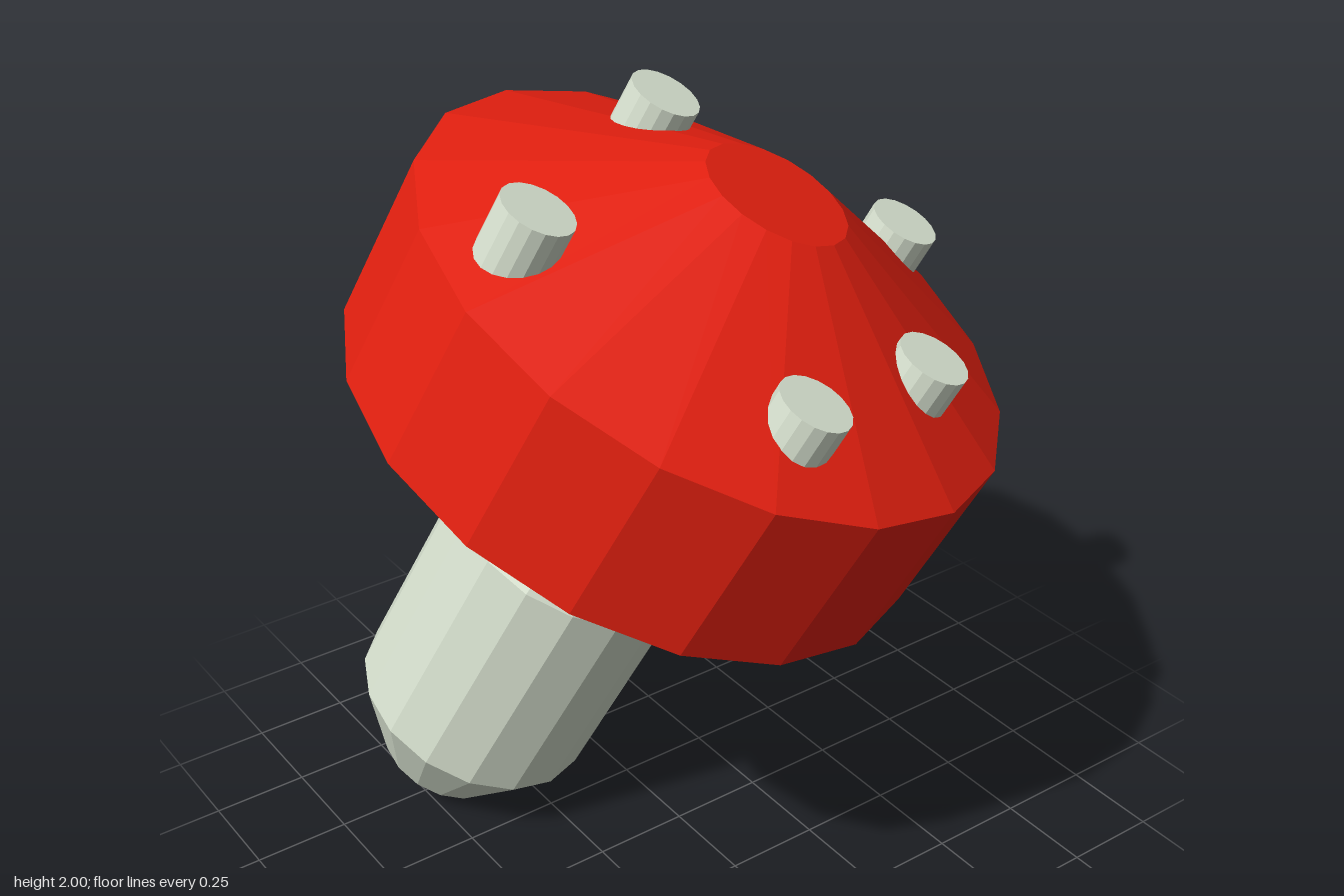
import * as THREE from 'three';

const RED = new THREE.MeshStandardMaterial({ color: 0xe62010, flatShading: true });
const PALE = new THREE.MeshStandardMaterial({ color: 0xd8e2d0, flatShading: true });

// Turned part from [radius, height] pairs, listed bottom to top
function turned(name, profile, sides, material, start = 0, sweep = Math.PI * 2) {
  const points = profile.map(([r, y]) => new THREE.Vector2(r, y));
  const mesh = new THREE.Mesh(new THREE.LatheGeometry(points, sides, start, sweep), material);
  mesh.name = name;
  return mesh;
}

export function createModel() {
  const model = new THREE.Group();
  model.name = 'mushroom';

  // Leaning axis shared by every part
  const axis = new THREE.Vector3(0.279, 0.887, 0.368).normalize();
  const tilt = new THREE.Quaternion().setFromUnitVectors(new THREE.Vector3(0, 1, 0), axis);
  const rad = THREE.MathUtils.degToRad;

  const body = new THREE.Group();
  body.name = 'body';
  body.position.set(-0.41, 0.081, -0.54);
  body.quaternion.copy(tilt);
  model.add(body);

  // Stem with tapered ends
  body.add(turned('stem',
    [[0, 0], [0.176, 0], [0.32, 0.226], [0.32, 0.872], [0.2, 1.165], [0, 1.165]],
    16, PALE, rad(35)));

  // Cap: shallow cone below, straight band, cone above with a flat tip
  body.add(turned('cap',
    [[0, 1.148], [0.2, 1.148], [0.756, 1.236], [0.756, 1.675], [0.18, 1.962], [0, 1.962]],
    18, RED, rad(35)));

  // Small red fleck where the cap meets the stem
  body.add(turned('capFleck', [[0.24, 1.085], [0.214, 1.15]], 2, RED, rad(136), rad(54)));

  // Spots: short pegs parallel to the stem, placed by the centre of their tops
  const spotLength = 0.2;
  const spotGeometry = new THREE.CylinderGeometry(0.088, 0.088, spotLength, 18);
  const spotTops = [
    [-0.455, 1.91, 0.13],
    [0.095, 1.96, -0.185],
    [-0.105, 1.56, 0.63],
    [0.313, 1.505, 0.535],
    [0.665, 1.575, 0.03],
  ];
  for (const top of spotTops) {
    const spot = new THREE.Mesh(spotGeometry, PALE);
    spot.name = 'spot';
    spot.position.fromArray(top).addScaledVector(axis, -spotLength / 2);
    spot.quaternion.copy(tilt);
    model.add(spot);
  }

  return model;
}
